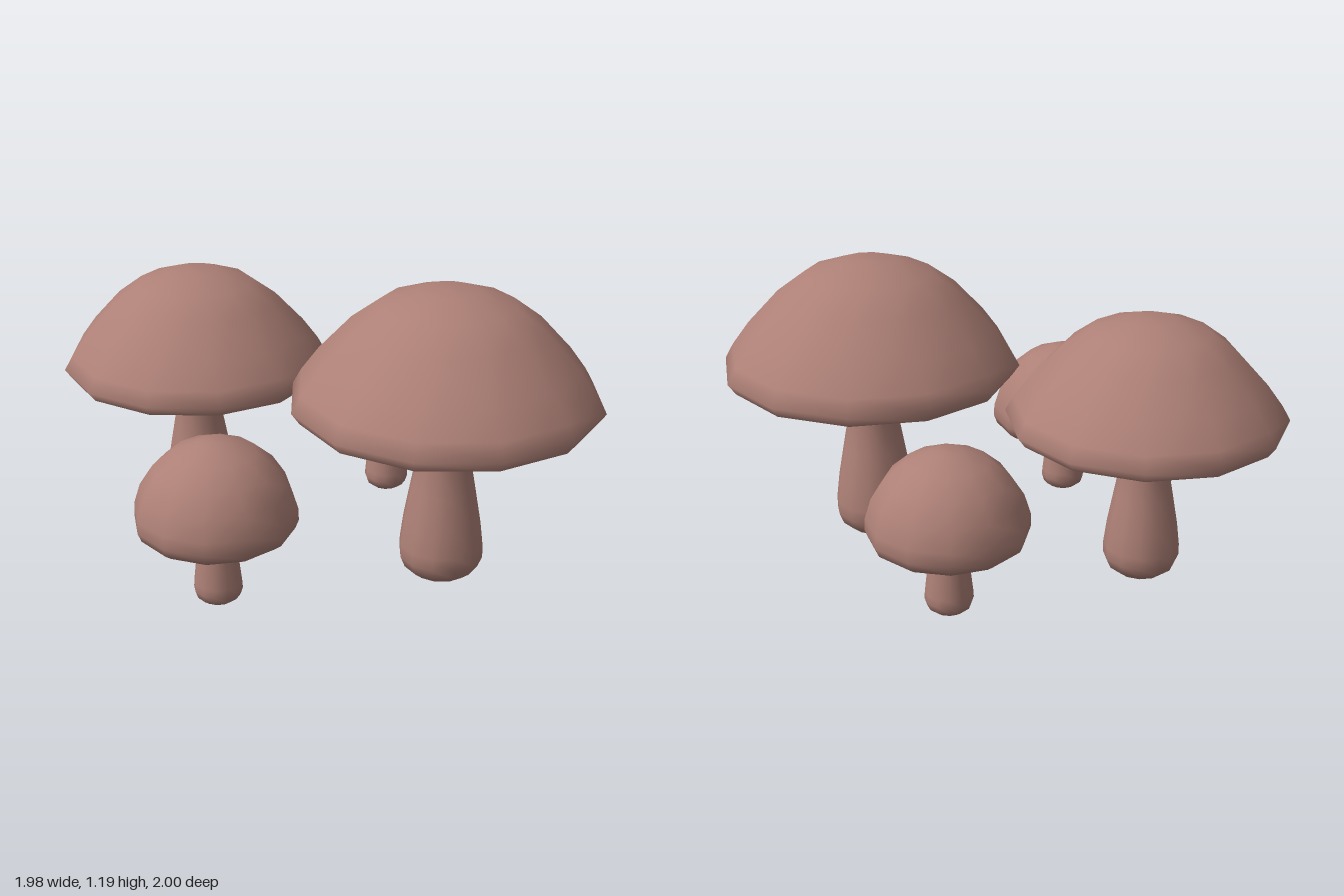
import * as THREE from 'three';

const SIDES = 12;
const clay = new THREE.MeshStandardMaterial({ color: 0xad8076 });
clay.name = 'clay';

// Profiles are [radius, height], listed so that the faces point outward
const LARGE = {
  cap: [[0.578, 0.707], [0.61, 0.752], [0.575, 0.815], [0.505, 0.91], [0.375, 1.05], [0.26, 1.135], [0.11, 1.186], [0, 1.188]],
  underside: [[0, 0.9], [0.1, 0.89], [0.3, 0.83], [0.48, 0.755], [0.578, 0.707]],
  stem: [[0, 0.003], [0.11, 0.008], [0.15, 0.04], [0.168, 0.085], [0.168, 0.135], [0.155, 0.24], [0.13, 0.38], [0.108, 0.5], [0.1, 0.7], [0.096, 0.92]],
};
const SMALL = {
  cap: [[0.235, 0.302], [0.27, 0.303], [0.3, 0.325], [0.314, 0.36], [0.312, 0.41], [0.287, 0.49], [0.235, 0.57], [0.16, 0.635], [0.06, 0.675], [0, 0.677]],
  underside: [[0, 0.4], [0.065, 0.398], [0.15, 0.375], [0.21, 0.34], [0.235, 0.302]],
  stem: [[0, 0.008], [0.06, 0.011], [0.085, 0.03], [0.095, 0.06], [0.093, 0.09], [0.083, 0.18], [0.069, 0.29], [0.06, 0.43]],
};

function lathe(name, profile) {
  const points = profile.map(([r, y]) => new THREE.Vector2(r, y));
  const mesh = new THREE.Mesh(new THREE.LatheGeometry(points, SIDES), clay);
  mesh.name = name;
  return mesh;
}

// One mushroom: domed cap, hollow underside and flared stem
function mushroom(name, kind, x, z, turn, scale = 1) {
  const group = new THREE.Group();
  group.name = name;
  for (const part of ['cap', 'underside', 'stem']) group.add(lathe(part, kind[part]));
  group.position.set(x, 0, z);
  group.rotation.y = THREE.MathUtils.degToRad(turn);
  group.scale.setScalar(scale);
  return group;
}

export function createModel() {
  const model = new THREE.Group();
  model.name = 'mushroomCluster';
  model.add(
    mushroom('largeFrontMushroom', LARGE, 0.375, 0.385, 0),
    mushroom('largeBackMushroom', LARGE, -0.44, -0.45, -1.5, 0.905),
    mushroom('smallFrontMushroom', SMALL, -0.53, 0.385, -19),
    mushroom('smallBackMushroom', SMALL, 0.393, -0.415, -22),
  );
  return model;
}
